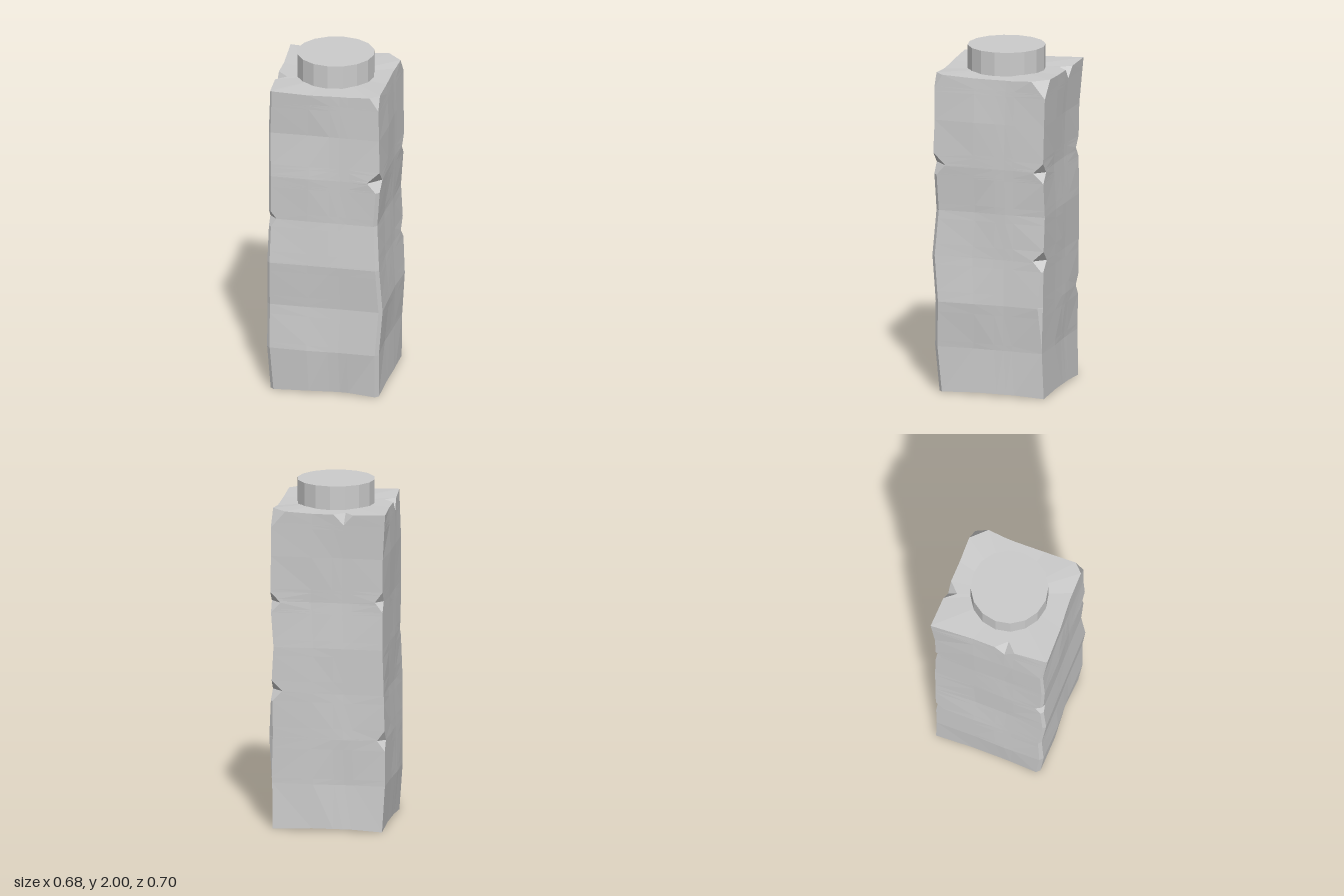
import * as THREE from 'three';

const STEP = 1.87 / 7; // height of one course of facets
const stone = new THREE.MeshStandardMaterial({ color: 0xcccccc, flatShading: true });

// Distance of each face from the axis, course by course
const faces = {
  front: [0.305, 0.33, 0.32, 0.345, 0.325, 0.335, 0.325, 0.335],
  right: [0.31, 0.315, 0.335, 0.32, 0.305, 0.325, 0.32, 0.31],
  back: [0.33, 0.32, 0.325, 0.33, 0.335, 0.33, 0.335, 0.343],
  left: [0.325, 0.34, 0.34, 0.335, 0.328, 0.328, 0.33, 0.335],
};

// Corner cuts as [height, size]: spikes are chips, steady values are worn edges
const cuts = [
  [[0, 0.02], [1.02, 0.015], [1.07, 0.045], [1.11, 0.015], [1.34, 0.015], [1.87, 0.01]], // front, -x
  [[0, 0.02], [1.28, 0.02], [1.34, 0.075], [1.41, 0], [1.79, 0], [1.87, 0.05]], // front, +x
  [[0, 0], [0.3, 0], [0.54, 0.025], [0.75, 0.01], [0.81, 0.065], [0.87, 0],
    [1.27, 0], [1.33, 0.06], [1.39, 0], [1.77, 0], [1.87, 0.085]], // back, +x
  [[0, 0], [0.475, 0], [0.535, 0.045], [0.595, 0], [1.29, 0], [1.35, 0.045], [1.41, 0], [1.87, 0]], // back, -x
];
// Corner shifts of the top course
const topShift = [[0.02, 0.015], [0.005, -0.005], [0.01, 0], [-0.012, -0.012]];

// Face columns as [fraction along face, share of waviness of each column line]
const columns = [[0.36, 1, 0], [0.55, 0.3, 0.7], [0.64, 0, 1], [0.72, 0, 0.78]];

function piecewise(points, y) {
  for (let i = 1; i < points.length; i++) {
    const [y0, v0] = points[i - 1], [y1, v1] = points[i];
    if (y <= y1 + 1e-6) return v0 + ((v1 - v0) * (y - y0)) / (y1 - y0);
  }
  return points[points.length - 1][1];
}
function byCourse(values, y) {
  return piecewise(values.map((v, i) => [i * STEP, v]), y);
}
function wave(side, column) {
  return Array.from({ length: 8 }, (_, r) => {
    const s = Math.sin(side * 41.3 + column * 17.7 + r * 29.1) * 4375.5;
    return (s - Math.floor(s)) * 0.018 - 0.006;
  });
}

// One closed horizontal outline, counter-clockwise from above
function outline(y) {
  const f = byCourse(faces.front, y), r = byCourse(faces.right, y);
  const b = byCourse(faces.back, y), l = byCourse(faces.left, y);
  const top = Math.max(0, (y - 6 * STEP) / STEP);
  const corners = [[-l, f], [r, f], [r, -b], [-l, -b]].map(([x, z], i) =>
    new THREE.Vector3(x + topShift[i][0] * top, y, z + topShift[i][1] * top));
  const inward = [[0, -1], [-1, 0], [0, 1], [1, 0]];
  const ring = [];
  for (let s = 0; s < 4; s++) {
    const a = corners[s], c = corners[(s + 1) % 4];
    const dir = c.clone().sub(a).normalize();
    ring.push(a.clone().addScaledVector(dir, piecewise(cuts[s], y)));
    columns.forEach(([t, w0, w1], k) => {
      const p = a.clone().lerp(c, t);
      let push = w0 * byCourse(wave(s, 0), y) + w1 * byCourse(wave(s, 1), y);
      // notches in the top rim at the back and on the -x side
      if (k === 2 && s >= 2 && y > 1.86) push += 0.062;
      p.x += inward[s][0] * push;
      p.z += inward[s][1] * push;
      // rim dips and base rises slightly mid-face
      if (y > 1.86) p.y -= 0.008;
      if (y < 0.01) p.y += 0.01;
      ring.push(p);
    });
    ring.push(c.clone().addScaledVector(dir, -piecewise(cuts[(s + 1) % 4], y)));
  }
  return ring;
}

function blockGeometry() {
  const heights = [1.8];
  for (let i = 0; i < 8; i++) heights.push(i * STEP);
  cuts.forEach((c) => c.forEach(([y]) => heights.push(y)));
  const rows = [...new Set(heights.map((y) => +y.toFixed(3)))].sort((a, b) => a - b);
  const rings = rows.map(outline);
  const n = rings[0].length, pos = [];
  const tri = (a, b, c) => {
    const area = b.clone().sub(a).cross(c.clone().sub(a)).length();
    if (area > 1e-8) for (const p of [a, b, c]) pos.push(p.x, p.y, p.z);
  };
  for (let j = 0; j + 1 < rings.length; j++) {
    for (let i = 0; i < n; i++) {
      const k = (i + 1) % n;
      const a = rings[j][i], b = rings[j][k], c = rings[j + 1][k], d = rings[j + 1][i];
      // split along the shorter diagonal
      if (a.distanceTo(c) < b.distanceTo(d)) { tri(a, b, c); tri(a, c, d); }
      else { tri(a, b, d); tri(b, c, d); }
    }
  }
  // end caps
  const low = rings[0], high = rings[rings.length - 1];
  const bottom = new THREE.Vector3(0, 0.01, 0), top = new THREE.Vector3(0, 1.86, 0);
  for (let i = 0; i < n; i++) {
    const k = (i + 1) % n;
    tri(bottom, low[k], low[i]);
    tri(top, high[i], high[k]);
  }
  const g = new THREE.BufferGeometry();
  g.setAttribute('position', new THREE.Float32BufferAttribute(pos, 3));
  g.computeVertexNormals();
  return g;
}

export function createModel() {
  const group = new THREE.Group();
  group.name = 'stonePillar';

  const block = new THREE.Mesh(blockGeometry(), stone);
  block.name = 'chippedBlock';
  group.add(block);

  // round peg on top
  const peg = new THREE.Mesh(new THREE.CylinderGeometry(0.224, 0.224, 0.2, 16), stone);
  peg.name = 'topPeg';
  peg.position.set(-0.005, 1.9, -0.003);
  group.add(peg);

  return group;
}
